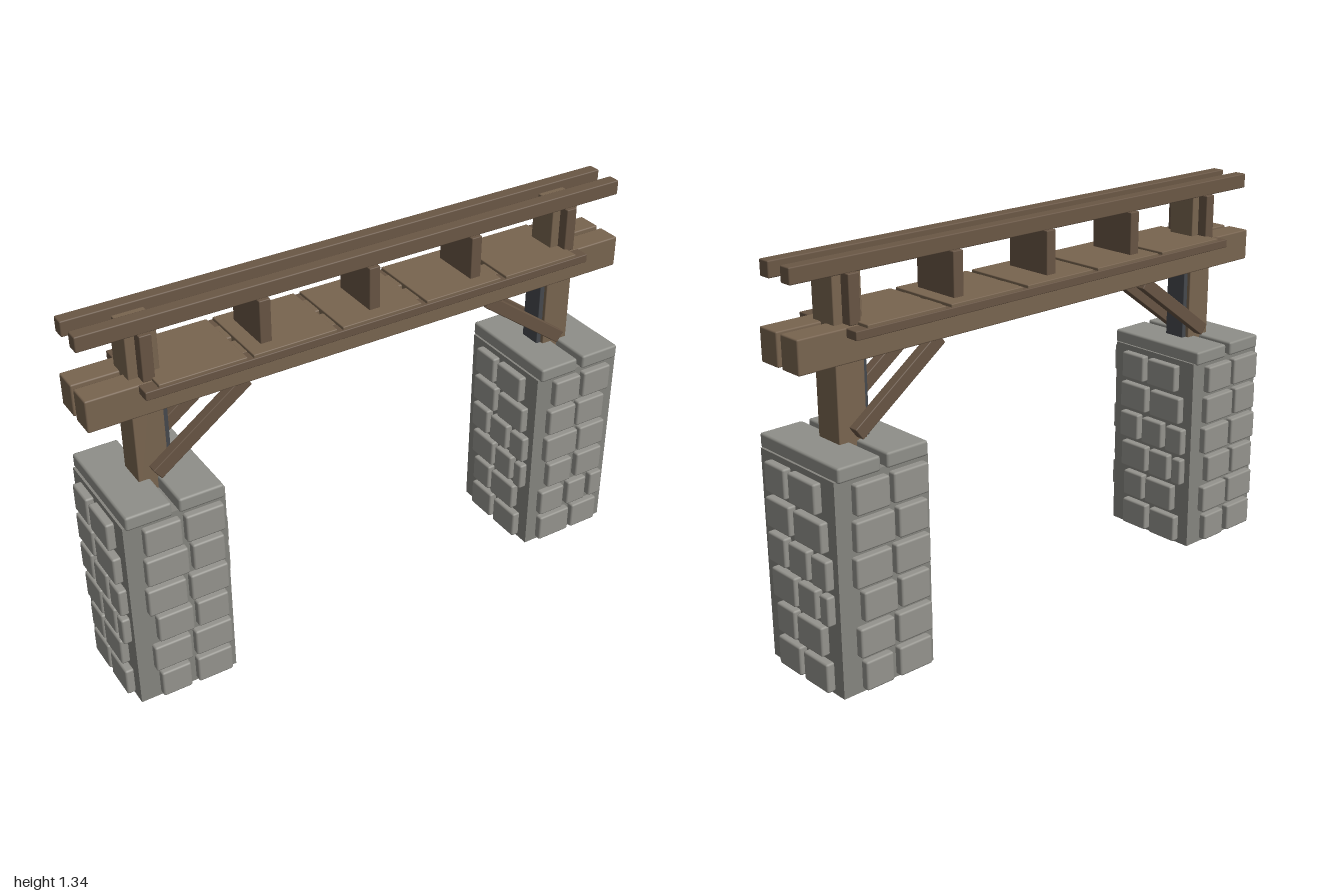
import * as THREE from 'three';
import { RoundedBoxGeometry } from 'three/addons/geometries/RoundedBoxGeometry.js';

const mat = (color) => new THREE.MeshStandardMaterial({ color });
const M = {
  core: mat(0x85847e), stone: mat(0x94938d), cap: mat(0x8f8f89),
  wood: mat(0x78644f), dark: mat(0x675443), rail: mat(0x6a5745), iron: mat(0x45484d),
};

// Bevelled block given by its extents on each axis
function block(name, material, [x0, x1], [y0, y1], [z0, z1], bevel = 0.003) {
  const geo = new RoundedBoxGeometry(x1 - x0, y1 - y0, z1 - z0, 1, bevel);
  const mesh = new THREE.Mesh(geo, material);
  mesh.position.set((x0 + x1) / 2, (y0 + y1) / 2, (z0 + z1) / 2);
  mesh.name = name;
  return mesh;
}

// Stone courses from the bottom up: left and right edge of each stone
const COURSES_A = [
  [[-0.105, 0], [0.025, 0.152]],
  [[-0.12, 0.01], [0.025, 0.158]],
  [[-0.1, 0.025], [0.04, 0.152]],
  [[-0.125, 0.01], [0.025, 0.158]],
  [[-0.12, 0.025], [0.04, 0.152]],
  [[-0.115, 0.01], [0.025, 0.158]],
];
const COURSES_B = [
  [[-0.13, 0.005], [0.02, 0.135]],
  [[-0.135, -0.03], [-0.01, 0.075], [0.095, 0.15]],
  [[-0.11, -0.005], [0.02, 0.135]],
  [[-0.13, 0.01], [0.02, 0.135]],
  [[-0.125, -0.01], [0, 0.12]],
  [[-0.11, 0], [0.015, 0.135]],
];
const COURSES_SIDE = [
  [[-0.117, 0], [0.02, 0.145]],
  [[-0.115, -0.02], [-0.005, 0.125]],
  [[-0.13, -0.007], [0.01, 0.103], [0.124, 0.167]],
  [[-0.14, -0.05], [-0.03, 0.068], [0.089, 0.167]],
  [[-0.14, -0.015], [0.007, 0.15]],
  [[-0.135, -0.03], [-0.01, 0.125]],
];

// One wall of raised stones, turned to face its side of the pier
function stoneFace(name, courses, distance, angle) {
  const face = new THREE.Group();
  face.name = name;
  courses.forEach((row, i) => {
    const y = 0.011 + i * 0.118;
    for (const span of row) {
      face.add(block('stone', M.stone, span, [y, y + 0.1], [distance - 0.005, distance + 0.027], 0.007));
    }
  });
  face.rotation.y = angle;
  return face;
}

function createPier(name, x, front, back) {
  const pier = new THREE.Group();
  pier.name = name;
  const core = new THREE.Mesh(new THREE.BoxGeometry(0.35, 0.72, 0.38), M.core);
  core.name = 'pierCore';
  core.position.y = 0.36;
  pier.add(core);
  pier.add(stoneFace('frontStones', front, 0.19, 0));
  pier.add(stoneFace('backStones', back, 0.19, Math.PI));
  pier.add(stoneFace('leftStones', COURSES_SIDE, 0.177, Math.PI / 2));
  pier.add(stoneFace('rightStones', COURSES_SIDE, 0.177, -Math.PI / 2));
  // Two cap slabs with a narrow joint
  pier.add(block('capSlab', M.cap, [-0.168, -0.012], [0.715, 0.765], [-0.203, 0.203], 0.008));
  pier.add(block('capSlab', M.cap, [0.012, 0.168], [0.715, 0.765], [-0.203, 0.203], 0.008));
  pier.position.x = x;
  return pier;
}

// Diagonal brace from the post up to the beam
function createBrace(side, z) {
  const a = new THREE.Vector2(side * 0.79, 0.792);
  const b = new THREE.Vector2(side * 0.463, 1.03);
  const brace = new THREE.Mesh(new RoundedBoxGeometry(a.distanceTo(b), 0.046, 0.036, 1, 0.003), M.dark);
  brace.name = 'brace';
  brace.position.set((a.x + b.x) / 2, (a.y + b.y) / 2, z);
  brace.rotation.z = Math.atan((b.y - a.y) / (b.x - a.x));
  return brace;
}

export function createModel() {
  const model = new THREE.Group();
  model.name = 'bridge';

  model.add(createPier('rightPier', -0.79, COURSES_A, COURSES_A));
  model.add(createPier('leftPier', 0.79, COURSES_B, COURSES_A));

  // Posts, iron plates and braces at both ends
  for (const side of [-1, 1]) {
    const c = side * 0.79, plate = side * 0.73;
    model.add(block('post', M.wood, [c - 0.052, c + 0.052], [0.715, 1.317], [-0.053, 0.053]));
    model.add(block('ironPlate', M.iron, [plate - 0.01, plate + 0.01], [0.72, 1.08], [-0.04, 0.04], 0.002));
    for (const z of [-0.068, 0.068]) model.add(createBrace(side, z));
  }

  // Main beams, deck edge strips and top rails, front and back
  for (const s of [-1, 1]) {
    const span = (a, b) => (s > 0 ? [a, b] : [-b, -a]);
    model.add(block('beam', M.wood, [-1, 1], [1.028, 1.138], span(0.01, 0.096), 0.005));
    model.add(block('deckEdge', M.dark, [-0.828, 0.828], [1.108, 1.137], span(0.088, 0.143)));
    model.add(block('topRail', M.rail, [-1, 1], [1.292, 1.344], span(0.03, 0.075), 0.004));
  }

  // Deck planks and the uprights carrying the rails
  for (let i = -2; i <= 2; i++) {
    const p = i * 0.317, u = i * 0.395;
    model.add(block('deckPlank', M.wood, [p - 0.148, p + 0.148], [1.122, 1.147], [-0.138, 0.138]));
    model.add(block('railUpright', M.dark, [u - 0.02, u + 0.02], [1.138, 1.294], [-0.09, 0.09]));
  }
  return model;
}
